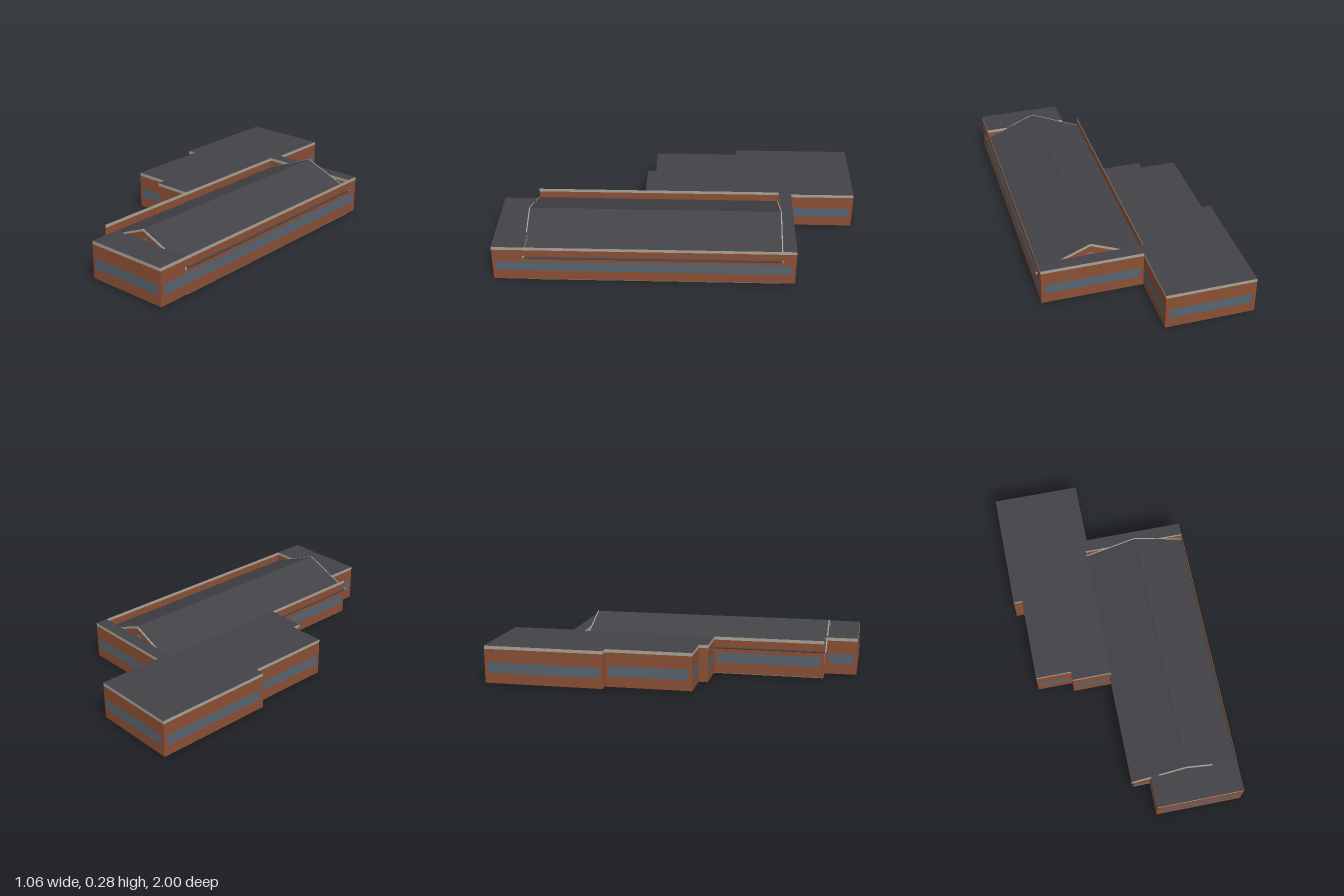
import * as THREE from 'three';

const mat = (name, color) => {
  const m = new THREE.MeshStandardMaterial({ color, side: THREE.DoubleSide });
  m.name = name;
  return m;
};

export function createModel() {
  const brick = mat('brick', 0x8b4f35);
  const roof = mat('roof', 0x434247);
  const stone = mat('paleStone', 0xa8a296);
  const glass = mat('glass', 0x566470);
  const plinthGrey = mat('plinthGrey', 0x7a7770);
  const dark = mat('darkDoor', 0x35393f);

  const model = new THREE.Group();
  model.name = 'building';
  const group = (name) => {
    const g = new THREE.Group();
    g.name = name;
    model.add(g);
    return g;
  };
  const add = (parent, name, geo, material) => {
    const m = new THREE.Mesh(geo, material);
    m.name = name;
    parent.add(m);
    return m;
  };

  // Upright panel from a to b (x, z pairs), pushed outwards by off
  const panel = (parent, name, material, a, b, y0, y1, off = 0) => {
    const dx = b[0] - a[0], dz = b[1] - a[1], len = Math.hypot(dx, dz);
    const m = add(parent, name, new THREE.PlaneGeometry(len, y1 - y0), material);
    m.position.set((a[0] + b[0]) / 2 - (dz / len) * off, (y0 + y1) / 2,
      (a[1] + b[1]) / 2 + (dx / len) * off);
    m.rotation.y = Math.atan2(-dz, dx);
  };

  // Flat-roofed wings: walls, coping and window bands
  const BASE = 0.01, WALL = 0.202, TOP = 0.22;
  const outline = [
    [0.04, 0.82], [0.04, 1], [0.52, 1], [0.52, -0.64], [-0.04, -0.64], [-0.04, -1],
    [-0.53, -1], [-0.53, -0.33], [-0.48, -0.33], [-0.48, 0.15], [-0.28, 0.15],
    [-0.28, 0.2], [-0.06, 0.2], [-0.06, 0.82],
  ];
  const wings = group('wings');
  const wallRun = (pts, banded) => {
    for (let i = 0; i + 1 < pts.length; i++) {
      const a = pts[i], b = pts[i + 1];
      const len = Math.hypot(b[0] - a[0], b[1] - a[1]);
      panel(wings, 'wingWall', brick, a, b, BASE, WALL);
      panel(wings, 'coping', stone, a, b, WALL, TOP);
      if (banded && len > 0.1) {
        const t = 0.02 / len;
        const mix = (k) => [a[0] + (b[0] - a[0]) * k, a[1] + (b[1] - a[1]) * k];
        panel(wings, 'windowBand', glass, mix(t), mix(1 - t), 0.07, 0.128, 0.002);
      }
    }
  };
  wallRun(outline, true);
  // Walls facing the hall
  wallRun([[-0.06, 0.2], [-0.06, -0.57], [0.52, -0.57]], false);
  wallRun([[0.52, 0.82], [0.04, 0.82]], false);

  // Flat roof decks
  const deck = (name, pts) => {
    const shape = new THREE.Shape(pts.map((p) => new THREE.Vector2(p[0], p[1])));
    const m = add(wings, name, new THREE.ShapeGeometry(shape), roof);
    m.rotation.x = Math.PI / 2;
    m.position.y = TOP;
  };
  deck('frontDeck', [[0.04, 0.82], [0.04, 1], [0.52, 1], [0.52, 0.82]]);
  deck('rearDeck', [[0.52, -0.57], ...outline.slice(3, 13), [-0.06, -0.57]]);

  // Gabled hall
  const hall = group('hall');
  const L = -0.05, R = 0.513, F = 0.816, B = -0.56, MID = 0.2315, EAVE = 0.158, RIDGE = 0.273;
  panel(hall, 'hallSideWall', brick, [R, F], [R, B], BASE, EAVE);
  panel(hall, 'hallSideWall', brick, [L, B], [L, F], BASE, EAVE);
  for (const z of [F, B]) {
    const gable = new THREE.Shape([[L, BASE], [R, BASE], [R, EAVE], [MID, RIDGE], [L, EAVE]]
      .map((p) => new THREE.Vector2(...p)));
    add(hall, 'gableWall', new THREE.ShapeGeometry(gable), brick).position.z = z;
  }
  // Plinth around the hall
  const ring = [[L - 0.005, F + 0.003], [R + 0.004, F + 0.003], [R + 0.004, B - 0.005],
    [L - 0.005, B - 0.005]];
  ring.forEach((p, i) => panel(hall, 'plinth', plinthGrey, p, ring[(i + 1) % 4], 0.005, 0.03));

  // Roof slopes with pale rake boards at both ends
  const half = 0.2985, rise = 0.125, slope = Math.hypot(half, rise);
  for (const s of [-1, 1]) {
    const side = new THREE.Group();
    side.name = s < 0 ? 'rightRoofSlope' : 'leftRoofSlope';
    side.position.set(MID + (s * half) / 2, 0.28 - rise / 2, 0.131);
    side.rotation.z = -s * Math.atan2(rise, half);
    hall.add(side);
    add(side, 'roofSlab', new THREE.BoxGeometry(slope, 0.005, 1.392), roof);
    for (const e of [-1, 1]) {
      add(side, 'rakeBoard', new THREE.BoxGeometry(slope, 0.01, 0.006), stone)
        .position.set(0, -0.002, e * 0.697);
    }
  }

  // Arched openings that pass through the wall
  const arch = (w, h) => {
    const s = new THREE.Shape();
    s.moveTo(-w / 2, -h / 2);
    s.lineTo(w / 2, -h / 2);
    s.lineTo(w / 2, h / 2 - w / 2);
    s.absarc(0, h / 2 - w / 2, w / 2, 0, Math.PI, false);
    return s;
  };
  const opening = (name, x, y, z, w, h, turn, fill = glass) => {
    const g = new THREE.Group();
    g.name = name;
    g.position.set(x, y, z);
    g.rotation.y = turn;
    hall.add(g);
    [['frame', w, h, 0.006, plinthGrey], ['pane', w - 0.008, h - 0.008, 0.009, fill]]
      .forEach(([n, pw, ph, d, m]) => {
        const geo = new THREE.ExtrudeGeometry(arch(pw, ph),
          { depth: d, bevelEnabled: false, curveSegments: 6 });
        add(g, n, geo.translate(0, 0, -d / 2), m);
      });
  };
  for (let i = 0; i < 7; i++) {
    const z = 0.72 - i * 0.196;
    opening('sideWindow', L, 0.095, z, 0.038, 0.062, Math.PI / 2);
    opening('sideWindow', R, 0.095, z, 0.038, 0.062, Math.PI / 2);
  }
  for (const z of [F, B]) {
    for (const x of [0.05, 0.413]) opening('gableWindow', x, 0.095, z, 0.038, 0.062, 0);
    opening('upperWindow', MID, 0.197, z, 0.04, 0.06, 0);
  }

  // Hall entrance
  add(hall, 'doorFrame', new THREE.BoxGeometry(0.088, 0.1, 0.006), plinthGrey)
    .position.set(MID, 0.08, F);
  add(hall, 'door', new THREE.BoxGeometry(0.076, 0.09, 0.009), dark)
    .position.set(MID, 0.08, F);
  add(hall, 'doorStep', new THREE.BoxGeometry(0.105, 0.01, 0.03), stone)
    .position.set(MID, 0.005, 0.825);

  return model;
}
